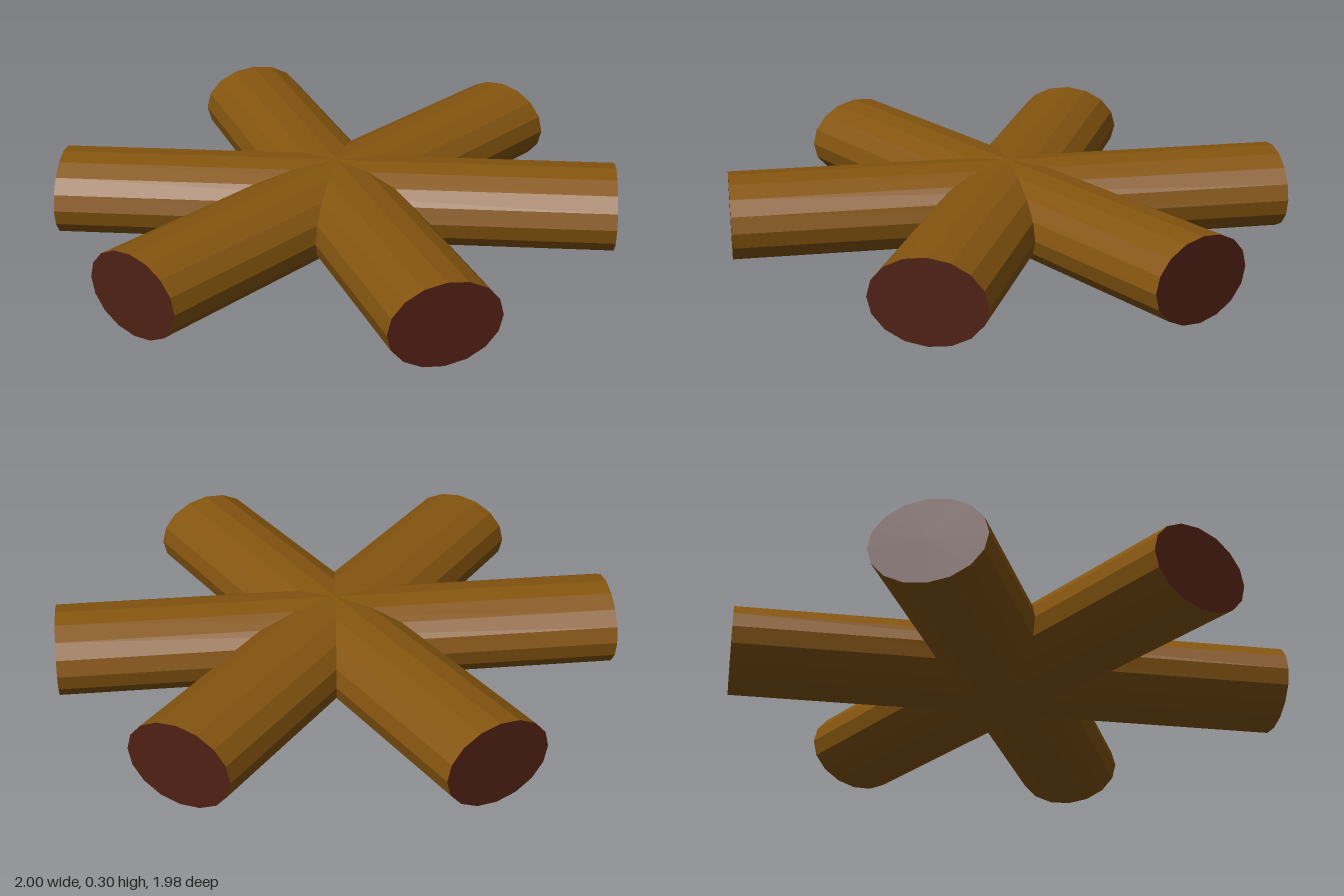
import * as THREE from 'three';

const LENGTH = 2, WIDTH = 0.4, HEIGHT = 0.3, SIDES = 16;

export function createModel() {
  const group = new THREE.Group();
  group.name = 'crossedLogs';

  const bark = new THREE.MeshStandardMaterial({ color: 0x85550f, flatShading: true });
  const cutWood = new THREE.MeshStandardMaterial({ color: 0x4f2014, flatShading: true });

  // One log lying along x, flattened to an oval section
  const geometry = new THREE.CylinderGeometry(1, 1, LENGTH, SIDES);
  geometry.rotateZ(Math.PI / 2);
  geometry.scale(1, HEIGHT / 2, WIDTH / 2);

  // Three logs crossing at the centre, each turned about the vertical
  const logs = { acrossLog: 0, leftLog: -65.4, rightLog: 52.9 };
  for (const [name, degrees] of Object.entries(logs)) {
    const log = new THREE.Mesh(geometry, [bark, cutWood, cutWood]);
    log.name = name;
    log.position.y = HEIGHT / 2;
    log.rotation.y = THREE.MathUtils.degToRad(degrees);
    group.add(log);
  }
  return group;
}
